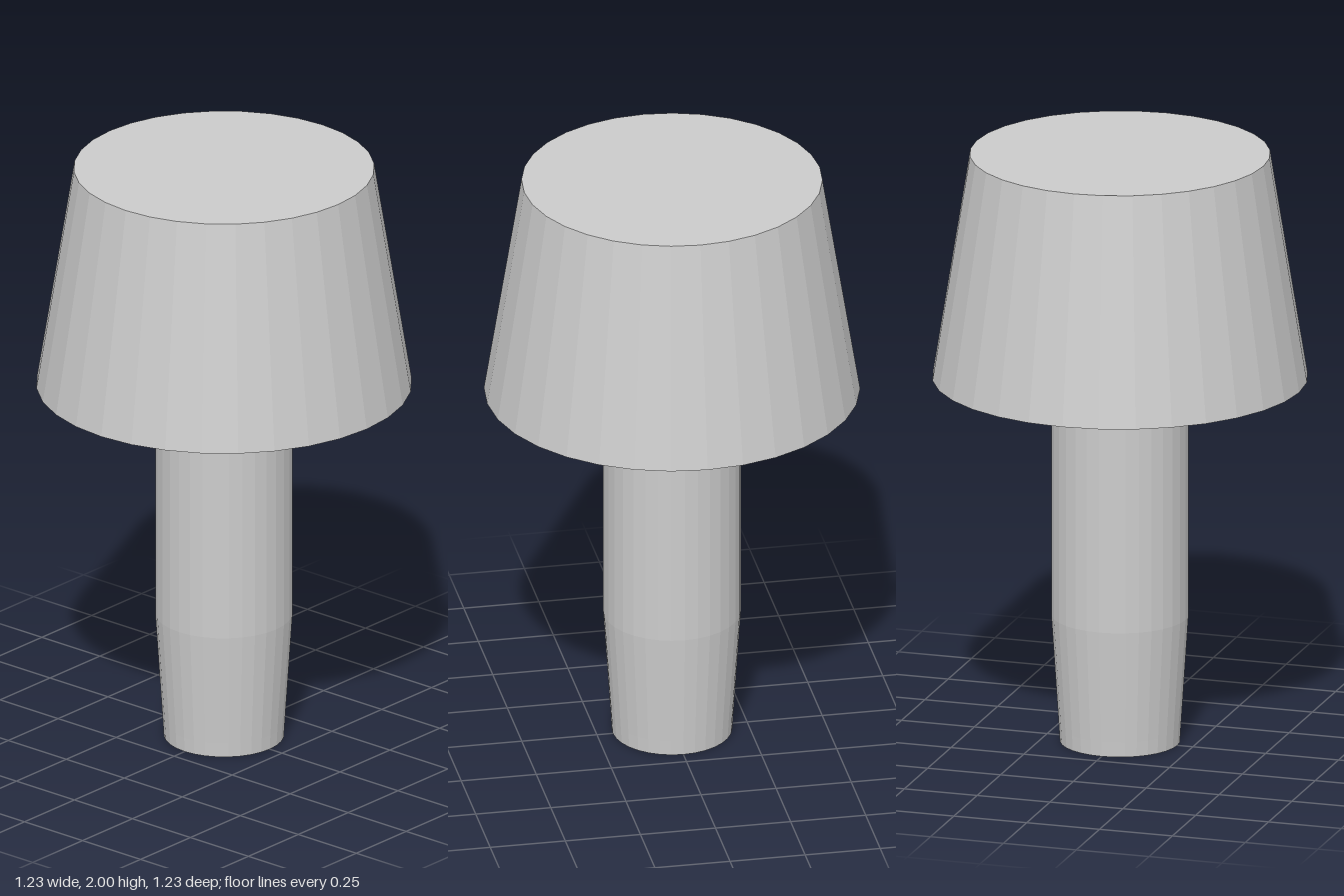
import * as THREE from 'three';

const SIDES = 32;

// Faceted solid of revolution; profile runs from bottom to top as [radius, height]
function turned(name, profile, material) {
  const points = profile.map(([r, y]) => new THREE.Vector2(r, y));
  const mesh = new THREE.Mesh(new THREE.LatheGeometry(points, SIDES), material);
  mesh.name = name;
  return mesh;
}

export function createModel() {
  const group = new THREE.Group();
  group.name = 'taperedPlug';
  const material = new THREE.MeshStandardMaterial({ color: 0xcccccc, flatShading: true });

  // Straight stem narrowing to a short collar at the foot
  group.add(turned('stem', [
    [0, 0], [0.197, 0], [0.2, 0.05], [0.225, 0.43], [0.225, 1.21],
  ], material));

  // Wide tapered head with a shallow conical underside and flat top
  group.add(turned('head', [
    [0.225, 1.21], [0.615, 1.24], [0.492, 2], [0, 2],
  ], material));

  return group;
}
